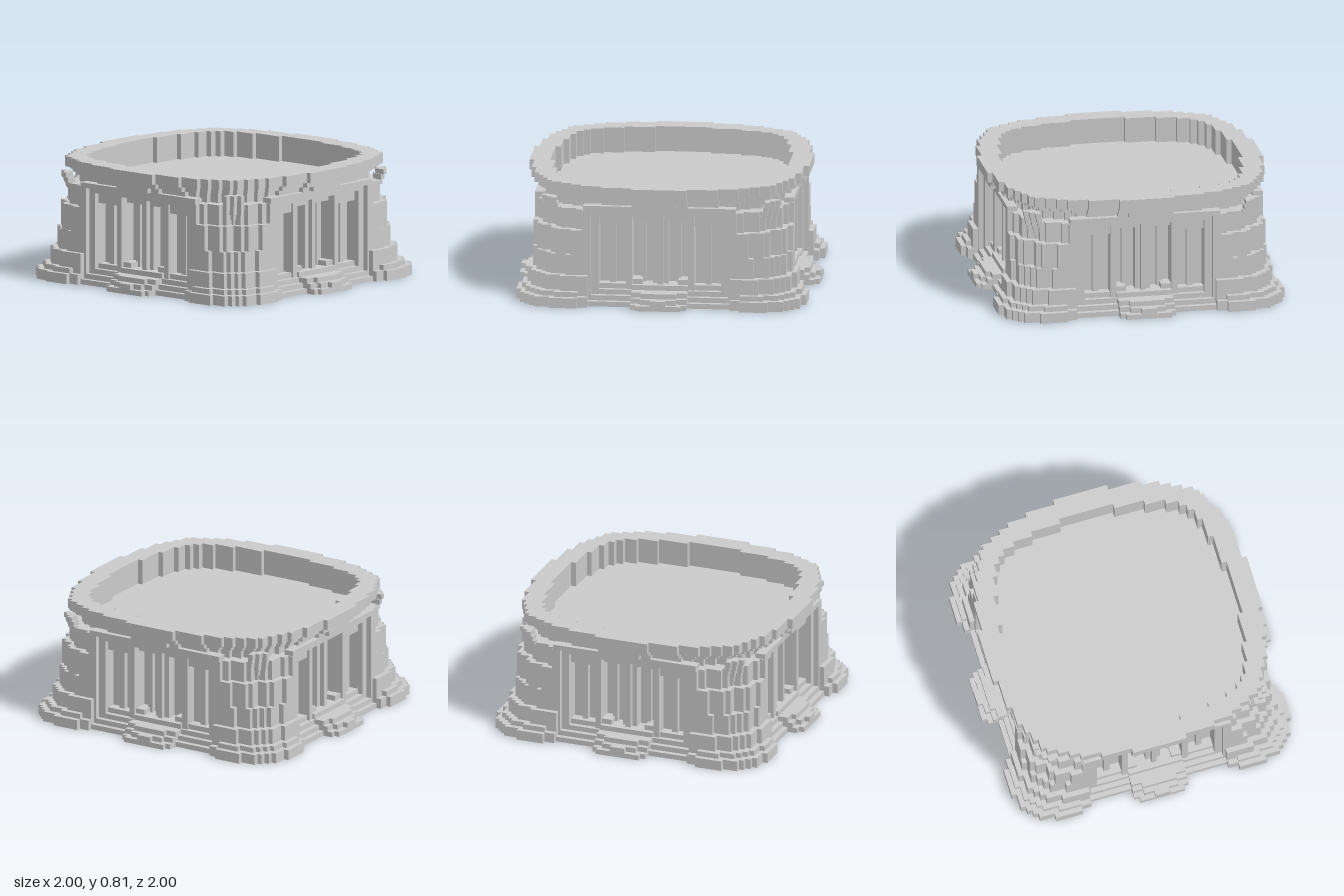
import * as THREE from 'three';

const U = 2 / 59; // one block
const material = new THREE.MeshStandardMaterial({ color: 0xcccccc });

function mesh(name, geometry) {
  const m = new THREE.Mesh(geometry, material);
  m.name = name;
  return m;
}

// Box between block coordinates
function block(name, x0, x1, y0, y1, z0, z1) {
  const g = new THREE.BoxGeometry((x1 - x0) * U, (y1 - y0) * U, (z1 - z0) * U);
  g.translate((x0 + x1) / 2 * U, (y0 + y1) / 2 * U, (z0 + z1) / 2 * U);
  return mesh(name, g);
}

// Stair corners [width, depth] of one octant, continued across the diagonal
function staircase(steps) {
  const all = [...steps, ...steps.map(([w, d]) => [d, w]).reverse()];
  const pts = [];
  all.forEach(([w, d], i) => {
    pts.push([w, d]);
    if (i < all.length - 1 && all[i + 1][1] !== d) pts.push([w, all[i + 1][1]]);
  });
  return pts;
}

// Closed stepped ring around all four quadrants, counter-clockwise
function ring(steps, grow = 0) {
  const quarter = staircase(steps.map(([w, d]) => [w + (w > 15 ? grow : 0), d + grow]));
  const pts = [];
  for (let q = 0; q < 4; q++) {
    for (const [x, y] of quarter) {
      const [a, b] = [[x, y], [y, -x], [-x, -y], [-y, x]][q];
      pts.push(new THREE.Vector2(a * U, b * U));
    }
  }
  return pts.reverse();
}

// Horizontal slab from an outline, with an optional hole
function slab(name, y0, y1, points, hole) {
  const shape = new THREE.Shape(points);
  if (hole) shape.holes.push(new THREE.Path(hole));
  const g = new THREE.ExtrudeGeometry(shape, { depth: (y1 - y0) * U, bevelEnabled: false });
  g.rotateX(-Math.PI / 2).translate(0, y0 * U, 0);
  return mesh(name, g);
}

// One corner buttress: tiers of [bottom, top, reach, inner side, corner cut]
function buttress() {
  const group = new THREE.Group();
  group.name = 'cornerButtress';
  const tiers = [
    [0, 2, 28.5, 14, 0], [2, 3, 27.5, 14, 0], [3, 6, 26.5, 14, 0],
    [6, 10, 25.5, 14, 0], [10, 15, 25.5, 15, 1], [15, 19, 24.5, 15, 1],
  ];
  for (const [y0, y1, d, a, c] of tiers) {
    const side = staircase([[d - 7 - c, d], [d - 4 - c, d - 1], [d - 3 - c, d - 2]]);
    // The lowest tiers also step in beside the facade
    const pts = d > 27
      ? [[a, a], [a, d - 1], [a + 2, d - 1], [a + 2, d], ...side, [d, a + 2], [d - 1, a + 2], [d - 1, a]]
      : [[a, a], [a, d], ...side, [d, a]];
    group.add(slab('buttressTier', y0, y1, pts.map(([x, y]) => new THREE.Vector2(x * U, y * U))));
  }
  // Small stepped bracket under the rim, at the outer corner
  for (let k = 0; k < 6; k++) {
    const r = 20 + k * 0.3, y = 15 + k;
    group.add(block('cornerBracket', r - 0.5, r + 1, y, y + 1, -r - 1, -r + 0.5));
    group.add(block('cornerBracket', r - 1, r, y, y + 1, -r - 2, -r));
    group.add(block('cornerBracket', r, r + 2, y, y + 1, -r, -r + 1));
  }
  return group;
}

// One facade between two buttresses
function facade() {
  const group = new THREE.Group();
  group.name = 'facade';
  const centre = (name, w, y0, y1, z1, z0 = 18) => group.add(block(name, -w, w, y0, y1, z0, z1));
  const pair = (name, x0, x1, y0, y1, z1, z0 = 18) => {
    group.add(block(name, x0, x1, y0, y1, z0, z1));
    group.add(block(name, -x1, -x0, y0, y1, z0, z1));
  };
  // Plinth and projecting steps
  centre('plinth', 16, 0, 1, 26.5);
  centre('plinth', 14.5, 1, 2, 25.5);
  centre('plinth', 13.5, 2, 3, 24.5);
  centre('sill', 13.5, 3, 4, 23.5);
  centre('step', 5.5, 0, 1, 28.5);
  centre('step', 4.5, 0, 1, 29.5);
  centre('step', 5.5, 1, 2, 27.5);
  centre('step', 3.5, 1, 2, 28.5);
  centre('step', 1.5, 1, 2, 29.5);
  centre('step', 5.5, 2, 3, 26.5);
  centre('step', 3.5, 2, 3, 27.5);
  centre('step', 5.5, 3, 4, 24.5);
  pair('stepBlock', 3.5, 5.5, 4, 5, 23.5);
  // Columns
  centre('centreColumn', 1.5, 3, 18, 22.5);
  centre('centreColumn', 0.5, 3, 18, 23.5);
  pair('doorBar', 3, 4, 4, 17, 21.5);
  pair('innerColumn', 5.5, 6.7, 3, 18, 24);
  pair('windowPanel', 6.7, 12, 4, 16, 21.5);
  pair('windowBar', 8.8, 10, 4, 16, 22.5);
  pair('outerColumn', 12, 13.5, 2, 18, 24.5);
  pair('framePost', 13.5, 15.2, 1, 19, 25.5);
  // Lintels and cornice ornaments, the upper ones outside the basin wall
  pair('windowLintel', 5.5, 13.5, 16, 18, 23.5);
  pair('doorLintel', 1.5, 5.5, 16.7, 18, 22.5);
  centre('header', 15, 18, 19, 24.5);
  pair('header', 1.5, 15, 19, 20, 25.5, 23.5);
  centre('keystone', 3.5, 20, 21, 26.5, 23.5);
  return group;
}

export function createModel() {
  const model = new THREE.Group();
  model.name = 'blockPedestal';

  const outer = [[5.5, 27.5], [11.5, 26.5], [15.5, 25.5], [17.5, 24.5], [19.5, 23.5], [21.5, 22.5]];
  const inner = [[5.5, 23.4], [11.5, 22.4], [15.5, 21.4], [17.9, 20.4], [19.2, 19.2]];

  // Core and basin floor
  model.add(block('core', -20.5, 20.5, 0, 18, -20.5, 20.5));
  model.add(slab('basinFloor', 18, 19, ring(outer, -3)));

  // Cornice courses widening up to the rim
  model.add(slab('lowerCornice', 19, 21, ring(outer, -2), ring(inner)));
  model.add(slab('upperCornice', 21, 22, ring(outer, -1), ring(inner)));
  model.add(slab('rim', 22, 24, ring(outer), ring(inner)));

  // Four matching sides and corners
  for (let q = 0; q < 4; q++) {
    for (const part of [facade(), buttress()]) {
      part.rotation.y = q * Math.PI / 2;
      model.add(part);
    }
  }
  return model;
}
